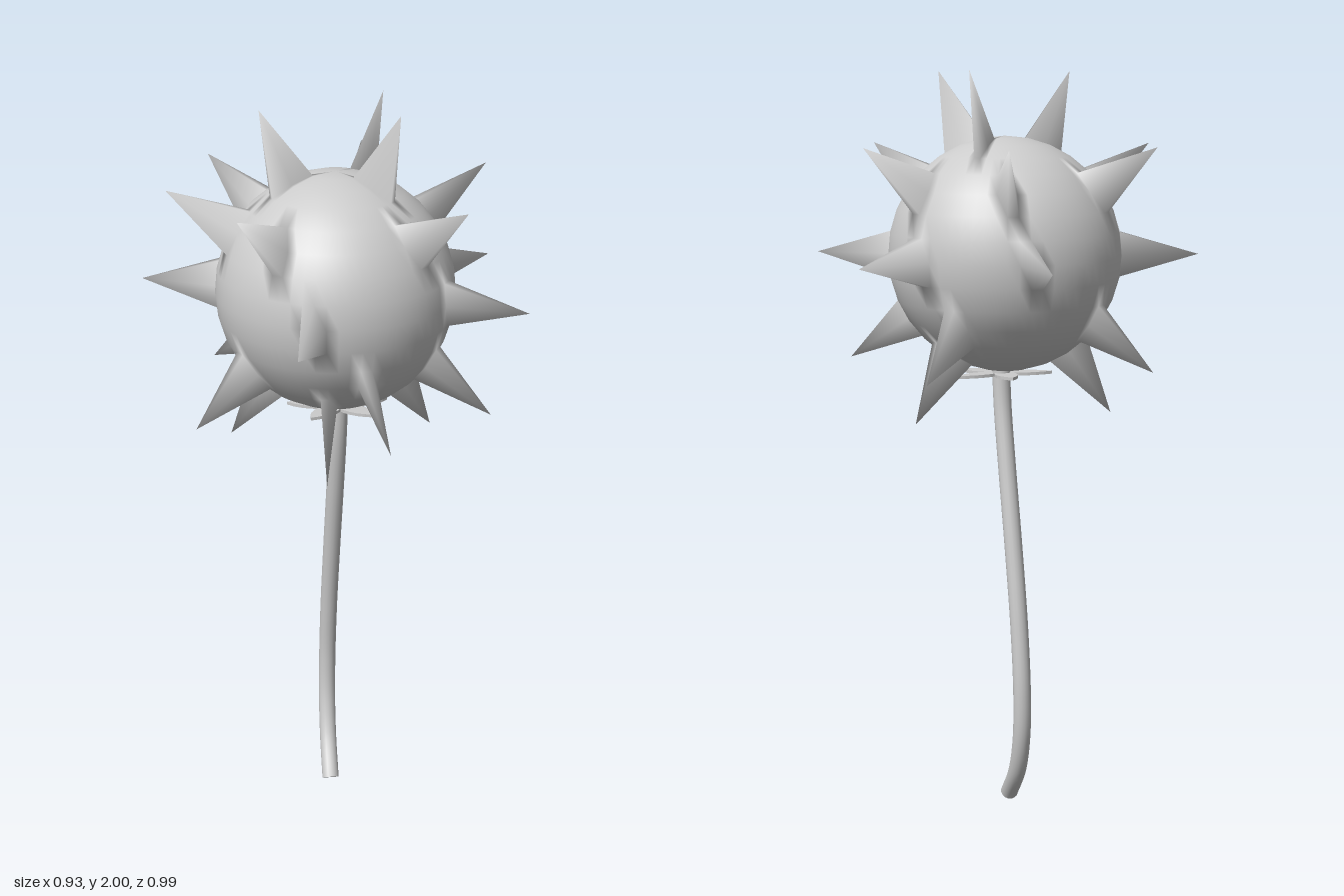
import * as THREE from 'three';
import { mergeVertices } from 'three/addons/utils/BufferGeometryUtils.js';

const material = new THREE.MeshStandardMaterial({ color: 0xcccccc });
const thinMaterial = new THREE.MeshStandardMaterial({ color: 0xcccccc, side: THREE.DoubleSide });

// Spikes as sphere row -> columns around that row
const SPIKES = {
  2: [2, 24, 40],
  5: [1, 9, 23, 35, 45, 56],
  8: [13, 27, 37, 47, 61],
  11: [5, 18, 27, 40, 56],
  13: [14, 35, 61],
};

// Ball with single vertices pulled outwards into sharp, flattened spikes
function spikyBall(radius, tipRadius) {
  const columns = 64, rows = 16;
  let geometry = new THREE.SphereGeometry(radius, columns, rows);
  const position = geometry.attributes.position;
  const v = new THREE.Vector3();
  for (const [row, list] of Object.entries(SPIKES)) {
    for (const column of list) {
      const i = Number(row) * (columns + 1) + column;
      v.fromBufferAttribute(position, i).setLength(tipRadius);
      position.setXYZ(i, v.x, v.y, v.z);
    }
  }
  // Weld the seam so the shading runs smoothly all round
  geometry.deleteAttribute('uv');
  geometry.deleteAttribute('normal');
  geometry = mergeVertices(geometry, 1e-5);
  geometry.computeVertexNormals();
  return geometry;
}

// Curved stem with closed ends
function stem() {
  const group = new THREE.Group();
  group.name = 'stem';
  const radius = 0.024;
  const curve = new THREE.CatmullRomCurve3([
    [0.012, 0.02, 0.01], [0.014, 0.12, -0.068], [0.016, 0.23, -0.108], [0.018, 0.36, -0.118],
    [0.02, 0.54, -0.1], [0.024, 0.76, -0.062], [0.028, 0.97, -0.02], [0.031, 1.13, 0.008],
    [0.033, 1.25, 0.016],
  ].map((p) => new THREE.Vector3(...p)));
  const tube = new THREE.Mesh(new THREE.TubeGeometry(curve, 48, radius, 16), material);
  tube.name = 'stemTube';
  group.add(tube);
  for (const t of [0, 1]) {
    const cap = new THREE.Mesh(new THREE.CircleGeometry(radius, 16), thinMaterial);
    cap.name = t ? 'stemTopCap' : 'stemBottomCap';
    cap.position.copy(curve.getPointAt(t));
    cap.quaternion.setFromUnitVectors(
      new THREE.Vector3(0, 0, 1),
      curve.getTangentAt(t).multiplyScalar(t ? 1 : -1),
    );
    group.add(cap);
  }
  return group;
}

// Small thin leaves between stem and ball
function calyx() {
  const group = new THREE.Group();
  group.name = 'calyx';
  const outline = new THREE.Shape();
  outline.moveTo(0, -0.015);
  outline.quadraticCurveTo(0.08, -0.05, 0.14, 0);
  outline.quadraticCurveTo(0.08, 0.05, 0, 0.015);
  outline.closePath();
  const geometry = new THREE.ExtrudeGeometry(outline, { depth: 0.008, bevelEnabled: false, curveSegments: 6 });
  geometry.rotateX(-Math.PI / 2);
  for (let i = 0; i < 5; i++) {
    const leaf = new THREE.Mesh(geometry, thinMaterial);
    leaf.name = 'calyxLeaf';
    leaf.rotation.y = Math.PI / 2 + (i / 5) * Math.PI * 2;
    group.add(leaf);
  }
  group.scale.z = 0.72;
  group.position.set(0.031, 1.212, 0.022);
  return group;
}

export function createModel() {
  const model = new THREE.Group();
  model.name = 'spikyFlower';
  const head = new THREE.Mesh(spikyBall(0.305, 0.507), material);
  head.name = 'spikyHead';
  head.position.set(0.023, 1.532, 0.01);
  model.add(head, stem(), calyx());
  return model;
}
